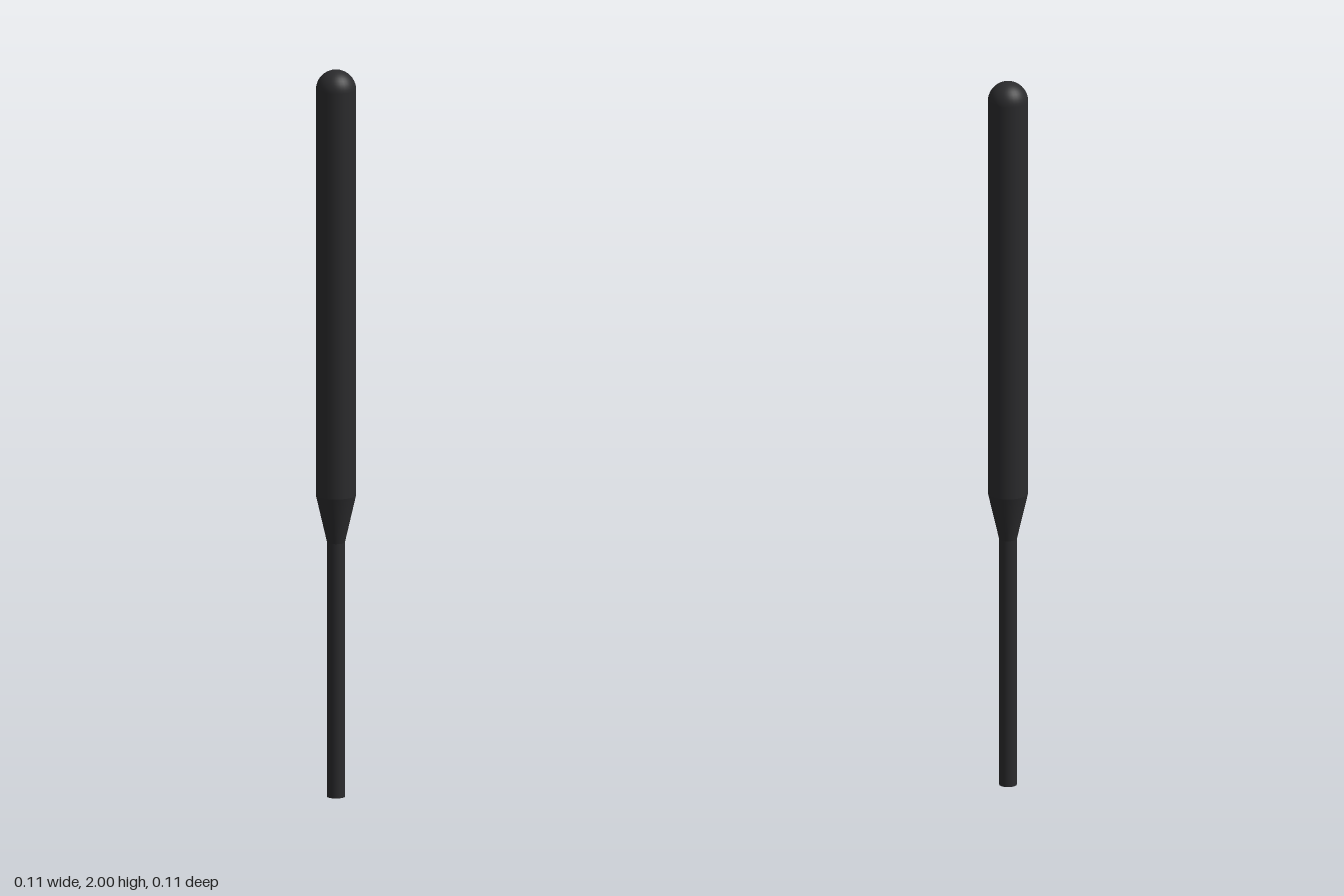
import * as THREE from 'three';

const SIDES = 32;
const GRIP_R = 0.054, SHAFT_R = 0.024;
const TAPER_Y = 0.7, GRIP_Y = 0.83, DOME_Y = 2 - GRIP_R;

export function createModel() {
  const group = new THREE.Group();
  const black = new THREE.MeshStandardMaterial({ color: 0x2b2b2d });
  black.name = 'matte black';

  // Revolve a bottom-to-top list of [radius, height] pairs
  const turn = (name, profile) => {
    const points = profile.map(([r, y]) => new THREE.Vector2(r, y));
    const mesh = new THREE.Mesh(new THREE.LatheGeometry(points, SIDES), black);
    mesh.name = name;
    group.add(mesh);
  };

  // Thin shaft with a flat closed end
  turn('shaftEnd', [[0, 0], [SHAFT_R, 0]]);
  turn('shaft', [[SHAFT_R, 0], [SHAFT_R, TAPER_Y]]);

  // Cone widening from the shaft to the thick body
  turn('taper', [[SHAFT_R, TAPER_Y], [GRIP_R, GRIP_Y]]);

  // Thick body closed by a hemispherical tip
  const body = [[GRIP_R, GRIP_Y]];
  for (let i = 0; i <= 10; i++) {
    const a = (i / 10) * Math.PI / 2;
    body.push([i === 10 ? 0 : GRIP_R * Math.cos(a), DOME_Y + GRIP_R * Math.sin(a)]);
  }
  turn('roundedBody', body);

  return group;
}
